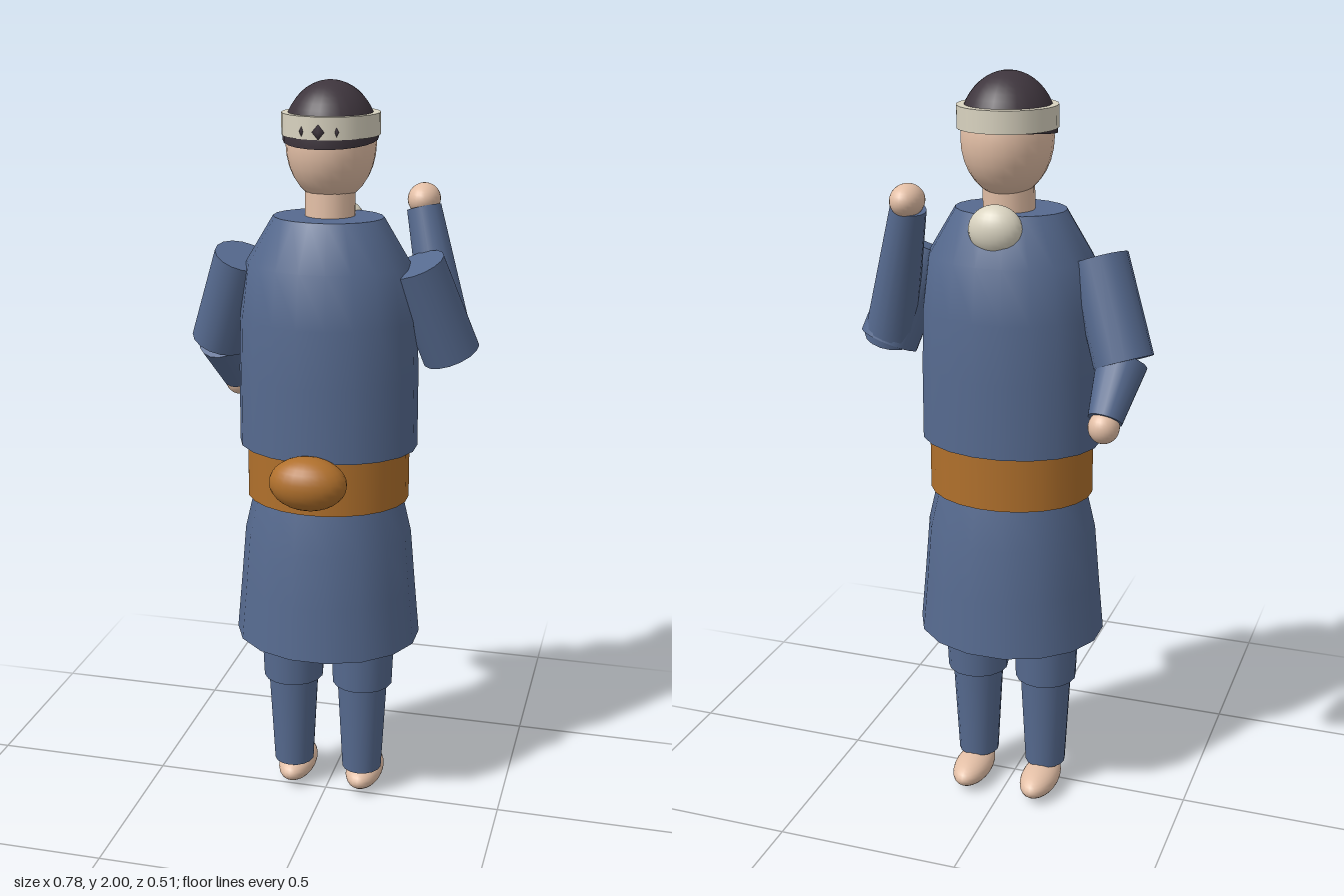
import * as THREE from 'three';

const mat = (name, color) => {
  const m = new THREE.MeshStandardMaterial({ color });
  m.name = name;
  return m;
};

export function createModel() {
  const blue = mat('blue cloth', 0x566a8f);
  const ochre = mat('ochre sash', 0xb0702c);
  const skin = mat('skin', 0xe3bfa6);
  const dark = mat('dark hair', 0x3e353d);
  const ivory = mat('ivory cloth', 0xd9d3c0);

  const model = new THREE.Group();
  model.name = 'robedFigure';

  const add = (name, geometry, material, x = 0, y = 0, z = 0) => {
    const mesh = new THREE.Mesh(geometry, material);
    mesh.name = name;
    mesh.position.set(x, y, z);
    model.add(mesh);
    return mesh;
  };

  const ellipsoid = (name, material, [x, y, z], [rx, ry, rz]) =>
    add(name, new THREE.SphereGeometry(1, 24, 16).scale(rx, ry, rz), material, x, y, z);

  // Elliptical body shell from [radius, height] points, with flat ends
  const shell = (name, material, points, depth, z, segments = 16) => {
    const side = new THREE.LatheGeometry(points.map(([r, y]) => new THREE.Vector2(r, y)), segments, Math.PI / segments);
    add(name, side.scale(1, 1, depth), material, 0, 0, z);
    [points[0], points[points.length - 1]].forEach(([r, y], i) => {
      const cap = new THREE.CircleGeometry(r, segments, Math.PI / segments);
      cap.rotateX(i ? -Math.PI / 2 : Math.PI / 2).scale(1, 1, depth);
      add(name + (i ? 'Top' : 'Bottom'), cap, material, 0, y, z);
    });
  };

  // Tapered limb section running from point a to point b
  const limb = (name, material, a, b, ra, rb) => {
    const from = new THREE.Vector3(...a), to = new THREE.Vector3(...b);
    const dir = to.clone().sub(from);
    const mesh = add(name, new THREE.CylinderGeometry(rb, ra, dir.length(), 16), material);
    mesh.position.copy(from).add(to).multiplyScalar(0.5);
    mesh.quaternion.setFromUnitVectors(new THREE.Vector3(0, 1, 0), dir.normalize());
    return mesh;
  };

  // Robe and sash
  shell('skirt', blue, [[0.255, 0.5], [0.241, 0.65], [0.228, 0.8], [0.2, 0.92]], 0.9, -0.028);
  shell('sash', ochre, [[0.22, 0.905], [0.22, 1.057]], 0.86, -0.028, 24);
  shell('torso', blue, [[0.241, 1.05], [0.24, 1.25], [0.235, 1.4], [0.217, 1.54], [0.145, 1.66]], 0.82, -0.03, 20);
  ellipsoid('sashKnot', ochre, [0, 1.005, 0.19], [0.103, 0.071, 0.07]);
  ellipsoid('innerCollar', ivory, [0, 1.625, -0.15], [0.07, 0.063, 0.05]);

  // Legs and feet
  for (const s of [-1, 1]) {
    const x = 0.1 * s, z = -0.027;
    limb('trouserLeg', blue, [x, 0.35, z], [x, 0.56, z], 0.084, 0.092);
    limb('shin', blue, [x, 0.08, z], [x, 0.4, z], 0.056, 0.073);
    ellipsoid('foot', skin, [x, 0.045, -0.07], [0.052, 0.041, 0.104]);
    // Upper sleeves
    limb('upperSleeve', blue, [0.232 * s, 1.545, -0.028], [0.318 * s, 1.3, -0.09], 0.075, 0.078);
  }

  // Lowered forearm
  limb('loweredForearm', blue, [-0.314, 1.3, -0.092], [-0.298, 1.175, -0.185], 0.066, 0.045);
  ellipsoid('loweredHand', skin, [-0.298, 1.16, -0.195], [0.04, 0.042, 0.042]);

  // Raised forearm
  limb('raisedForearm', blue, [0.312, 1.31, -0.095], [0.224, 1.67, -0.165], 0.068, 0.046);
  ellipsoid('raisedHand', skin, [0.222, 1.69, -0.176], [0.043, 0.042, 0.056]);

  // Neck and head
  limb('neck', skin, [0, 1.63, -0.045], [0, 1.76, -0.05], 0.066, 0.066);
  ellipsoid('head', skin, [0, 1.84, -0.058], [0.116, 0.148, 0.126]);

  // Hair cap, lower at the nape
  const hair = add('hair',
    new THREE.SphereGeometry(1, 24, 12, 0, Math.PI * 2, 0, Math.PI / 2).scale(0.122, 0.147, 0.13),
    dark, 0, 1.853, -0.053);
  hair.rotation.x = 0.1;
  hair.material.side = THREE.DoubleSide;

  // Headband and dark flecks at its back
  add('headband', new THREE.CylinderGeometry(1, 1, 0.056, 24).scale(0.126, 1, 0.135), ivory, 0, 1.892, -0.056);
  for (const x of [-0.045, 0, 0.045]) {
    const fleck = new THREE.SphereGeometry(1, 4, 2).scale(x ? 0.006 : 0.016, x ? 0.012 : 0.019, 0.004);
    add('hairFleck', fleck, dark, x, 1.883, x ? 0.07 : 0.079);
  }

  return model;
}
